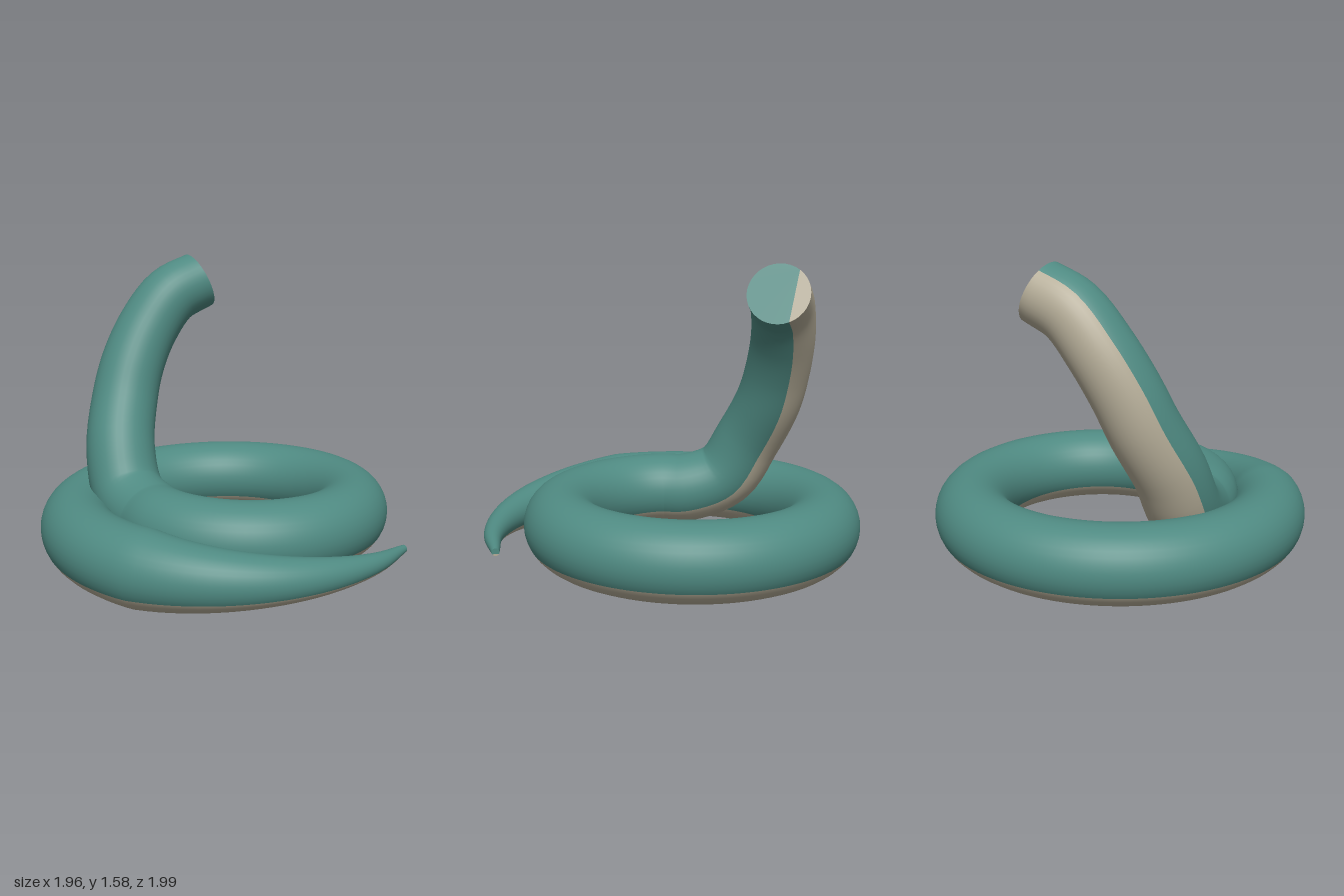
import * as THREE from 'three';

const SIDES = 36;       // facets around the body
const BELLY = 6;        // belly covers this many facets either side of its centre line
const STEPS = 5;        // rings per control point
const COILS = 30;       // control steps along the flat spiral
const START = 18, STEP = 16; // spiral start and step, in degrees

// Control points: flat spiral from tail tip inwards, then the raised neck
function bodyPoints() {
  const points = [];
  for (let k = 0; k <= COILS; k++) {
    const deg = START + STEP * k;
    const a = THREE.MathUtils.degToRad(deg);
    const r = 0.993 - 0.089 * deg / 90;
    points.push(new THREE.Vector3(0.03 + r * Math.cos(a), 0.178 + 0.0002 * deg, -0.08 + r * Math.sin(a)));
  }
  const neck = [
    [-0.5, 0.36, 0.11], [-0.573, 0.58, -0.01], [-0.585, 0.81, -0.15], [-0.56, 1.0, -0.24],
    [-0.495, 1.19, -0.335], [-0.385, 1.36, -0.43], [-0.245, 1.44, -0.53],
  ];
  neck.forEach((p) => points.push(new THREE.Vector3(...p)));
  return points;
}

// Radius: tapering tail, even coil, slightly narrowing neck
function radiusAt(k, last) {
  const tail = 0.02 + 0.175 * (STEP * k) / 90;
  const neck = 0.195 - 0.035 * Math.max(0, (k - COILS) / (last - COILS));
  return Math.min(tail, neck);
}

// Rings of points; the belly faces down on the coil and is carried along up the neck
function bodyRings() {
  const points = bodyPoints();
  const last = points.length - 1;
  const curve = new THREE.CatmullRomCurve3(points, false, 'centripetal');
  const belly = new THREE.Vector3();
  const rings = [];
  for (let i = 0; i <= last * STEPS; i++) {
    const k = i / STEPS;
    const centre = curve.getPoint(k / last);
    const tangent = curve.getTangent(k / last);
    if (k <= COILS - 1) belly.set(0, -1, 0);
    belly.addScaledVector(tangent, -belly.dot(tangent)).normalize();
    const side = new THREE.Vector3().crossVectors(tangent, belly);
    const r = radiusAt(k, last);
    const ring = [];
    for (let j = 0; j < SIDES; j++) {
      const a = (j - BELLY) / SIDES * Math.PI * 2;
      ring.push(centre.clone()
        .addScaledVector(belly, r * Math.cos(a))
        .addScaledVector(side, r * Math.sin(a)));
    }
    rings.push(ring);
  }
  return rings;
}

// Geometry with two groups: belly faces first, then back faces
function twoTone(points, bellyFaces, backFaces) {
  const geometry = new THREE.BufferGeometry().setFromPoints(points);
  geometry.setIndex([...bellyFaces, ...backFaces]);
  geometry.addGroup(0, bellyFaces.length, 0);
  geometry.addGroup(bellyFaces.length, backFaces.length, 1);
  geometry.computeVertexNormals();
  return geometry;
}

function skinGeometry(rings) {
  const belly = [], back = [];
  for (let i = 0; i < rings.length - 1; i++) {
    for (let j = 0; j < SIDES; j++) {
      const a = i * SIDES + j, b = i * SIDES + (j + 1) % SIDES;
      const c = b + SIDES, d = a + SIDES;
      (j < BELLY * 2 ? belly : back).push(a, b, c, a, c, d);
    }
  }
  return twoTone(rings.flat(), belly, back);
}

// Flat end, split by a chord between belly and back colours
function capGeometry(ring, flip) {
  const belly = [], back = [];
  const fan = (out, from, to) => {
    for (let j = from + 1; j < to; j++) {
      const b = j % SIDES, c = (j + 1) % SIDES;
      out.push(from, flip ? c : b, flip ? b : c);
    }
  };
  fan(belly, 0, BELLY * 2);
  fan(back, BELLY * 2, SIDES);
  return twoTone(ring, belly, back);
}

export function createModel() {
  const bellyColor = new THREE.MeshStandardMaterial({ color: 0xb5ad98 });
  bellyColor.name = 'belly beige';
  const backColor = new THREE.MeshStandardMaterial({ color: 0x4f8a82 });
  backColor.name = 'teal skin';
  const materials = [bellyColor, backColor];

  const model = new THREE.Group();
  model.name = 'coiledBody';
  const add = (name, geometry) => {
    const mesh = new THREE.Mesh(geometry, materials);
    mesh.name = name;
    model.add(mesh);
  };

  const rings = bodyRings();
  add('coilAndNeck', skinGeometry(rings));
  add('neckEnd', capGeometry(rings[rings.length - 1], false));
  add('tailTip', capGeometry(rings[0], true));
  return model;
}
